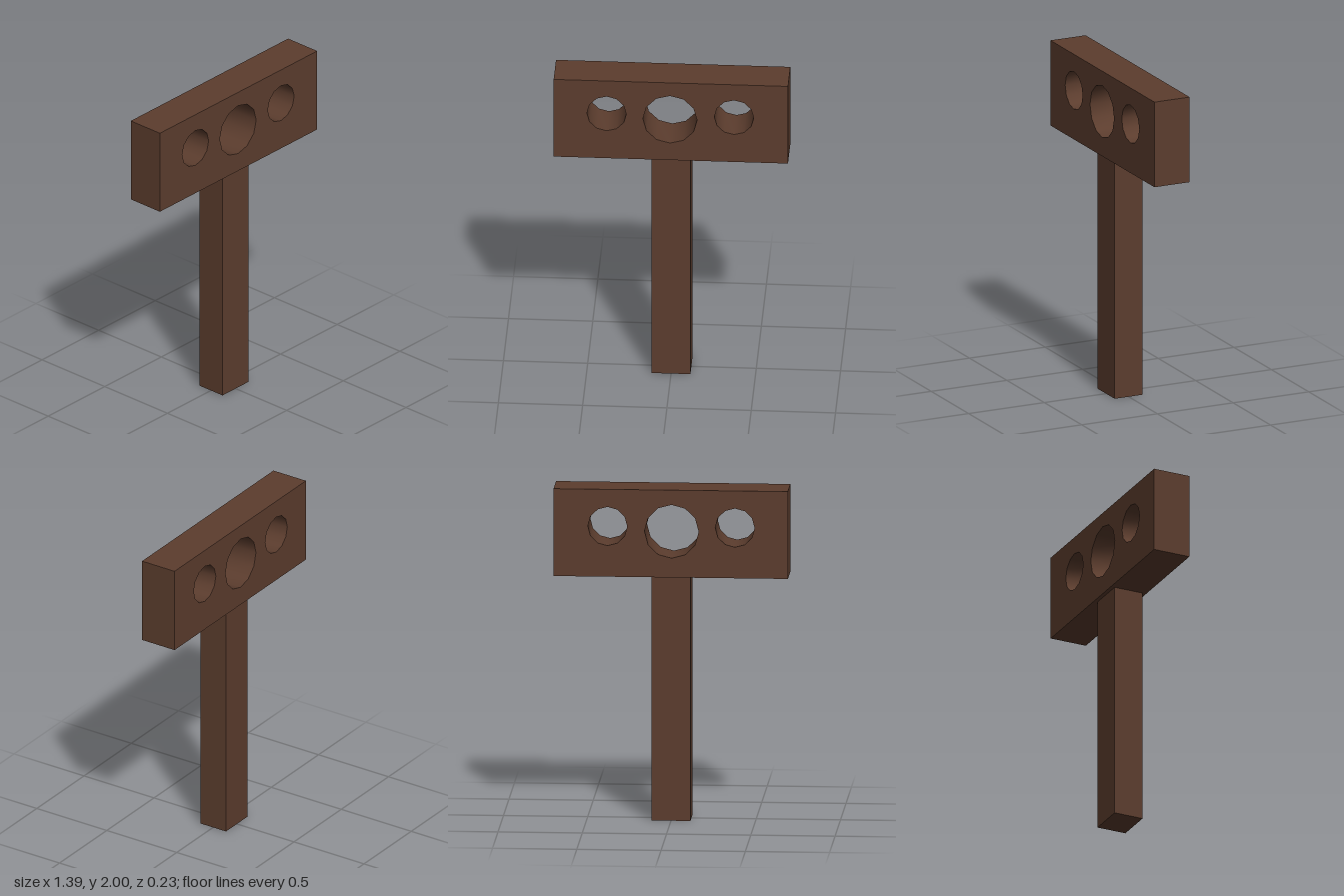
import * as THREE from 'three';
import { toCreasedNormals } from 'three/addons/utils/BufferGeometryUtils.js';

const SIDES = 12;

// Twelve-sided round opening
function hole(x, y, r) {
  const points = [];
  for (let i = 0; i < SIDES; i++) {
    const a = (-i / SIDES) * Math.PI * 2;
    points.push(new THREE.Vector2(x + r * Math.cos(a), y + r * Math.sin(a)));
  }
  return new THREE.Path(points);
}

export function createModel() {
  const model = new THREE.Group();
  model.name = 'postWithPiercedHead';

  const brown = new THREE.MeshStandardMaterial({ color: 0x5c3d2e });
  brown.name = 'dark brown';

  // Upright post
  const postHeight = 1.473;
  const post = new THREE.Mesh(new THREE.BoxGeometry(0.23, postHeight, 0.184), brown);
  post.name = 'post';
  post.position.y = postHeight / 2;
  model.add(post);

  // Crosswise head with one large and two small through-holes
  const halfWidth = 0.695, depth = 0.232;
  const outline = new THREE.Shape([
    new THREE.Vector2(-halfWidth, postHeight),
    new THREE.Vector2(halfWidth, postHeight),
    new THREE.Vector2(halfWidth, 2),
    new THREE.Vector2(-halfWidth, 2),
  ]);
  outline.holes.push(
    hole(-0.005, 1.75, 0.161),
    hole(-0.381, 1.777, 0.117),
    hole(0.375, 1.777, 0.117),
  );
  const headGeometry = new THREE.ExtrudeGeometry(outline, { depth, bevelEnabled: false });
  headGeometry.translate(0, 0, -depth / 2);

  // Smooth bores, sharp outer edges
  const head = new THREE.Mesh(toCreasedNormals(headGeometry, Math.PI / 5), brown);
  head.name = 'head';
  model.add(head);

  return model;
}
